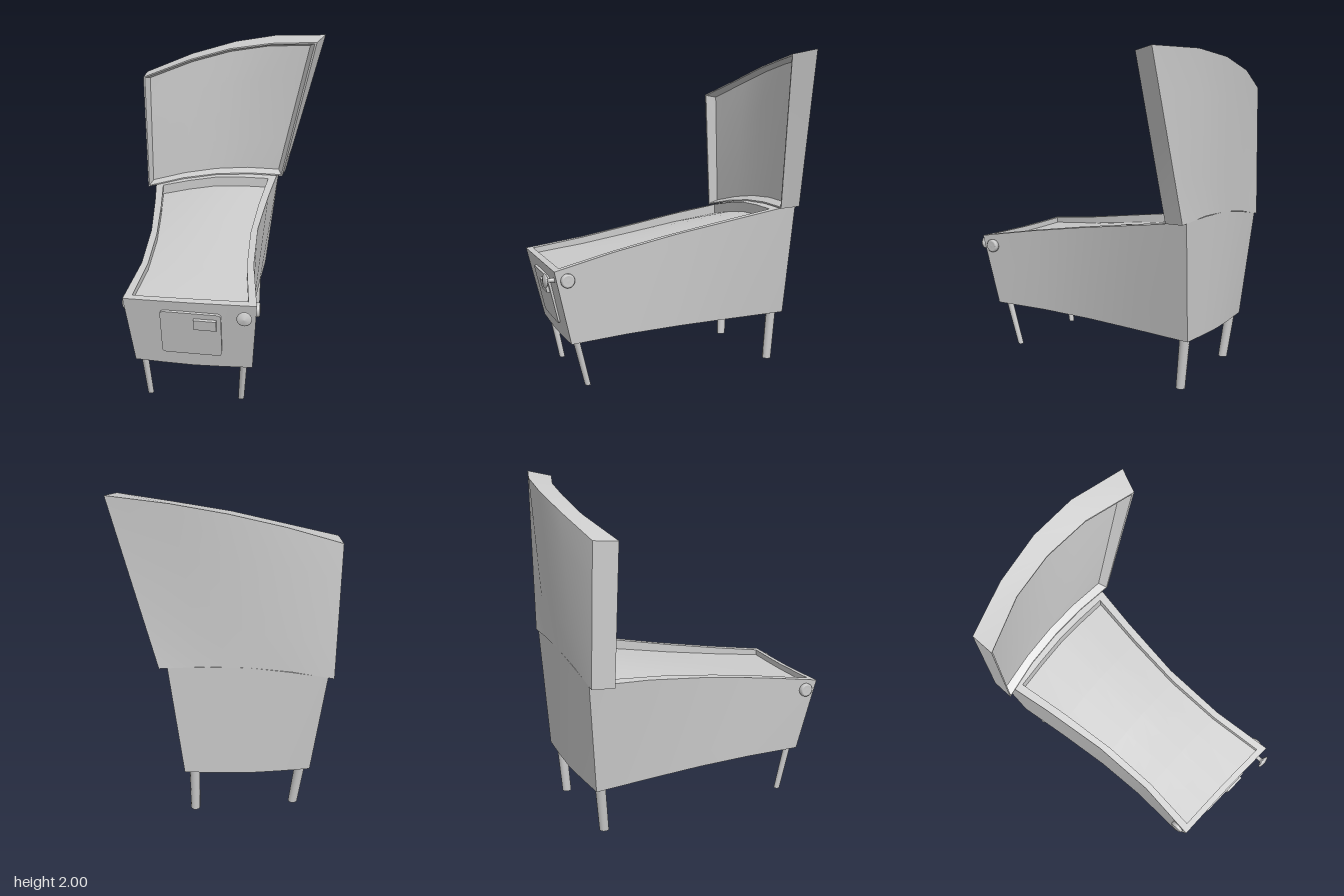
import * as THREE from 'three';

const mat = new THREE.MeshStandardMaterial({ color: 0xcccccc, side: THREE.DoubleSide });
const SEG = 4;
const mix = (a, b, t) => a.clone().lerp(b, t);

// smooth curve through a few points, as a function of t
function curve(...pts) {
  const c = new THREE.CatmullRomCurve3(pts.map(p => new THREE.Vector3(...p)));
  return t => c.getPoint(t);
}

// surface spanned between two curves
const ruled = (a, b) => (u, v) => mix(a(u), b(u), v);

// surface bounded by four curves (u runs left to right, v from front to back)
function coons(front, back, left, right) {
  return (u, v) => {
    const corner = mix(mix(front(0), front(1), u), mix(back(0), back(1), u), v);
    return mix(front(u), back(u), v).add(mix(left(v), right(v), u)).sub(corner);
  };
}

// part of a surface, cut in from each edge
const inset = (f, u0, u1, v0, v1) => (u, v) => f(u0 + (u1 - u0) * u, v0 + (v1 - v0) * v);

function add(group, name, geometry) {
  const m = new THREE.Mesh(geometry, mat);
  m.name = name;
  group.add(m);
  return m;
}

// grid mesh over a surface function
function patch(group, name, f, nu = SEG, nv = SEG) {
  const pos = [], idx = [];
  for (let j = 0; j <= nv; j++) {
    for (let i = 0; i <= nu; i++) pos.push(...f(i / nu, j / nv).toArray());
  }
  for (let j = 0; j < nv; j++) {
    for (let i = 0; i < nu; i++) {
      const a = j * (nu + 1) + i, b = a + nu + 1;
      idx.push(a, a + 1, b + 1, a, b + 1, b);
    }
  }
  const g = new THREE.BufferGeometry();
  g.setAttribute('position', new THREE.Float32BufferAttribute(pos, 3));
  g.setIndex(idx);
  g.computeVertexNormals();
  return add(group, name, g);
}

// four walls joining the borders of two surfaces
function ring(group, name, f, g) {
  const borders = [s => [s, 0], s => [1, s], s => [1 - s, 1], s => [0, 1 - s]];
  for (const b of borders) {
    patch(group, name, (s, t) => mix(f(...b(s)), g(...b(s)), t), SEG, 1);
  }
}

function buildCabinet() {
  const g = new THREE.Group();
  g.name = 'cabinet';
  const top = coons(
    curve([-0.5, 0.735, 0.75], [-0.12, 0.732, 0.762], [0.262, 0.74, 0.785]),
    curve([-0.57, 0.94, -0.78], [-0.12, 1.03, -0.798], [0.32, 1.04, -0.785]),
    curve([-0.5, 0.735, 0.75], [-0.46, 0.79, 0.38], [-0.468, 0.85, 0], [-0.515, 0.905, -0.4], [-0.57, 0.94, -0.78]),
    curve([0.262, 0.74, 0.785], [0.218, 0.815, 0.4], [0.217, 0.89, 0], [0.262, 0.965, -0.4], [0.32, 1.04, -0.785]));
  const bottom = coons(
    curve([-0.46, 0.285, 0.645], [-0.11, 0.276, 0.665], [0.235, 0.288, 0.68]),
    curve([-0.505, 0.285, -0.73], [-0.13, 0.3, -0.765], [0.235, 0.32, -0.76]),
    curve([-0.46, 0.285, 0.645], [-0.435, 0.28, 0.3], [-0.44, 0.28, -0.04], [-0.468, 0.282, -0.38], [-0.505, 0.285, -0.73]),
    curve([0.235, 0.288, 0.68], [0.198, 0.295, 0.32], [0.193, 0.303, -0.04], [0.21, 0.311, -0.4], [0.235, 0.32, -0.76]));
  const rim = inset(top, 0.06, 0.94, 0.025, 0.905);
  const floor = (u, v) => rim(u, v).add(new THREE.Vector3(0, -0.035 - 0.03 * v, 0));
  ring(g, 'cabinetWall', bottom, top);
  patch(g, 'cabinetBottom', bottom);
  ring(g, 'topRim', top, rim);
  ring(g, 'innerWall', rim, floor);
  patch(g, 'playfield', floor);
  return g;
}

function buildBackbox() {
  const g = new THREE.Group();
  g.name = 'backbox';
  const front = ruled(
    curve([-0.607, 0.92, -0.645], [-0.36, 0.975, -0.68], [-0.12, 1.01, -0.69], [0.11, 1.025, -0.685], [0.345, 1.025, -0.665]),
    curve([-0.61, 1.715, -0.61], [-0.3, 1.825, -0.697], [-0.03, 1.9, -0.71], [0.25, 1.945, -0.68], [0.55, 1.97, -0.59]));
  const back = ruled(
    curve([-0.605, 0.93, -0.78], [-0.36, 0.99, -0.79], [-0.12, 1.03, -0.798], [0.12, 1.045, -0.797], [0.365, 1.035, -0.785]),
    curve([-0.61, 1.725, -0.755], [-0.3, 1.845, -0.82], [0, 1.93, -0.84], [0.28, 1.98, -0.815], [0.607, 2, -0.725]));
  const at = w => (u, v) => mix(front(u, v), back(u, v), w);
  const rim = inset(front, 0.008, 0.99, 0.01, 0.99);
  const panel = inset(at(0.4), 0.028, 0.955, 0.03, 0.958);
  ring(g, 'backboxWall', front, back);
  patch(g, 'backboxBack', back);
  ring(g, 'backboxRim', front, rim);
  ring(g, 'backboxInnerWall', rim, panel);
  patch(g, 'displayPanel', panel);
  return g;
}

// leg slanted by a shear, so that the foot stays flat on the ground
function buildLeg(group, name, topPt, foot, rTop, rFoot) {
  const h = topPt[1];
  const geo = new THREE.CylinderGeometry(rTop, rFoot, h, 12).translate(0, h / 2, 0);
  const kx = (topPt[0] - foot[0]) / h, kz = (topPt[2] - foot[1]) / h;
  geo.applyMatrix4(new THREE.Matrix4().set(1, kx, 0, foot[0], 0, 1, 0, 0, 0, kz, 1, foot[1], 0, 0, 0, 1));
  geo.computeVertexNormals();
  add(group, name, geo);
}

function buildCoinDoor() {
  const g = new THREE.Group();
  g.name = 'coinDoor';
  const w = 0.175, h = 0.152, r = 0.025;
  const s = new THREE.Shape();
  s.moveTo(-w + r, -h);
  s.lineTo(w - r, -h).quadraticCurveTo(w, -h, w, -h + r);
  s.lineTo(w, h - r).quadraticCurveTo(w, h, w - r, h);
  s.lineTo(-w + r, h).quadraticCurveTo(-w, h, -w, h - r);
  s.lineTo(-w, -h + r).quadraticCurveTo(-w, -h, -w + r, -h);
  add(g, 'doorPanel', new THREE.ExtrudeGeometry(s, { depth: 0.02, bevelEnabled: false, curveSegments: 4 }))
    .position.z = -0.01;
  add(g, 'coinSlot', new THREE.BoxGeometry(0.13, 0.068, 0.035)).position.set(0.085, 0.083, 0.01);
  g.position.set(-0.115, 0.52, 0.72);
  g.rotation.set(0.228, -0.046, 0);
  return g;
}

export function createModel() {
  const model = new THREE.Group();
  model.name = 'arcadeTable';
  model.add(buildCabinet(), buildBackbox(), buildCoinDoor());

  // legs
  buildLeg(model, 'frontLeg', [-0.415, 0.31, 0.61], [-0.395, 0.55], 0.021, 0.018);
  buildLeg(model, 'frontLeg', [0.182, 0.31, 0.64], [0.162, 0.56], 0.021, 0.018);
  buildLeg(model, 'backLeg', [-0.455, 0.31, -0.69], [-0.425, -0.66], 0.031, 0.028);
  buildLeg(model, 'backLeg', [0.175, 0.34, -0.71], [0.172, -0.685], 0.031, 0.028);

  // side buttons
  for (const [x, z, side] of [[0.258, 0.705, 1], [-0.494, 0.675, -1]]) {
    const profile = [[0, -0.02], [0.042, -0.02], [0.042, 0.01], [0.034, 0.018], [0.03, 0.014], [0, 0.016]];
    const b = add(model, 'sideButton', new THREE.LatheGeometry(profile.map(p => new THREE.Vector2(...p)), 20));
    b.position.set(x, 0.68, z);
    b.rotation.z = -side * Math.PI / 2;
  }

  // plunger
  const rod = [[0.016, -0.04], [0.012, 0.02], [0.014, 0.03], [0.04, 0.042], [0.043, 0.048], [0.036, 0.055], [0, 0.062]];
  const plunger = add(model, 'plunger', new THREE.LatheGeometry(rod.map(p => new THREE.Vector2(...p)), 20));
  plunger.position.set(0.195, 0.677, 0.773);
  plunger.rotation.x = Math.PI / 2;
  return model;
}
